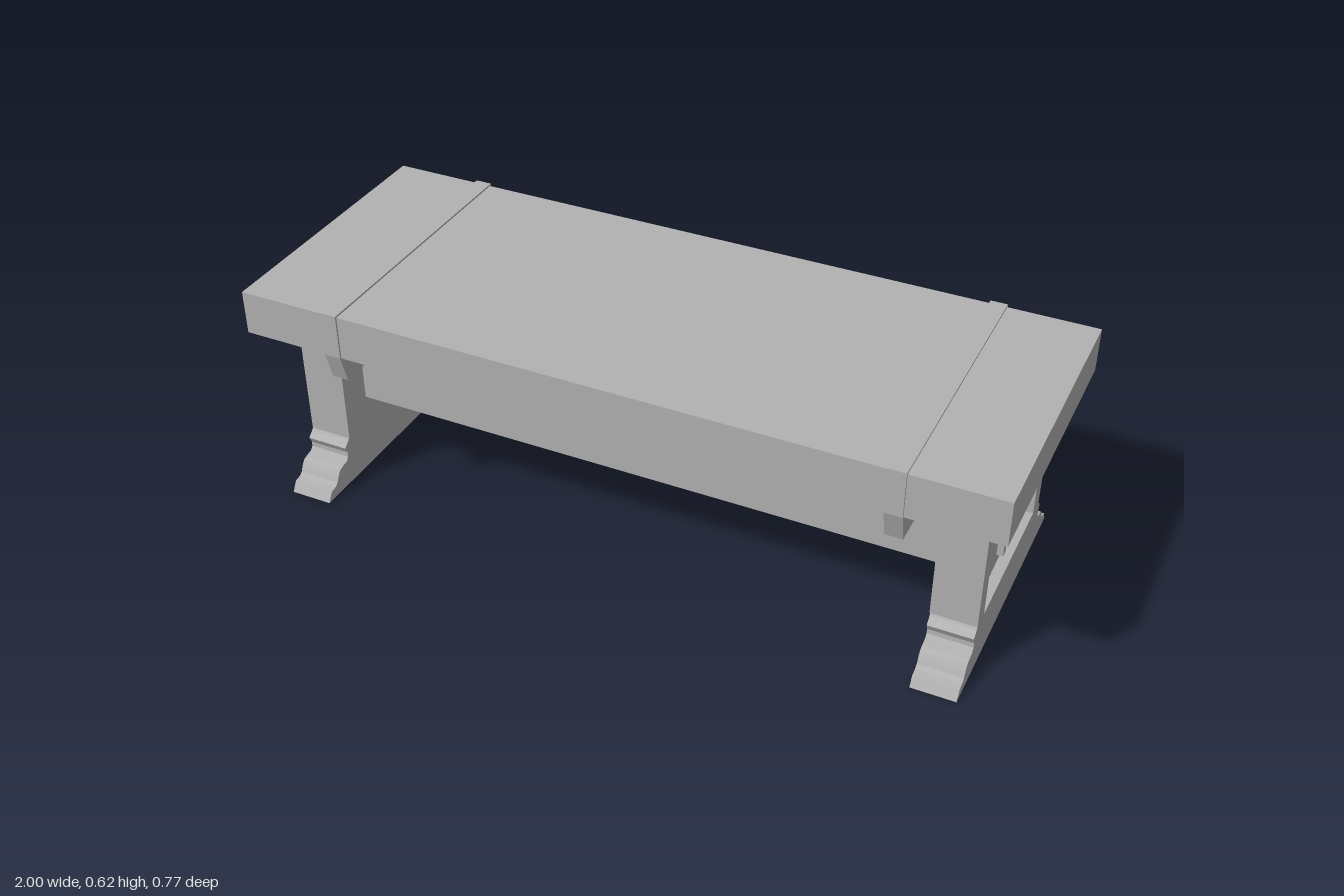
import * as THREE from 'three';

export function createModel() {
  const bench = new THREE.Group();
  bench.name = 'trestleBench';
  const grey = new THREE.MeshStandardMaterial({ color: 0xb2b2b2 });
  grey.name = 'plain grey';

  function add(parent, name, geometry) {
    const mesh = new THREE.Mesh(geometry, grey);
    mesh.name = name;
    parent.add(mesh);
    return mesh;
  }

  // Box given by its limits on each axis
  function box(parent, name, x0, x1, y0, y1, z0, z1) {
    const g = new THREE.BoxGeometry(x1 - x0, y1 - y0, z1 - z0);
    g.translate((x0 + x1) / 2, (y0 + y1) / 2, (z0 + z1) / 2);
    return add(parent, name, g);
  }

  // [z, y] outline pushed along x between two limits
  function slab(parent, name, outline, x0, x1) {
    const shape = new THREE.Shape(outline.map(([z, y]) => new THREE.Vector2(z, y)));
    const g = new THREE.ExtrudeGeometry(shape, { depth: x1 - x0, bevelEnabled: false });
    g.rotateY(-Math.PI / 2);
    g.translate(x1, 0, 0);
    return add(parent, name, g);
  }

  // Completes a half outline (running upwards) with its mirror image in z
  const mirrored = (half) => [...half, ...half.map(([z, y]) => [-z, y]).reverse()];

  // Seat board
  box(bench, 'seatBoard', -1, 1, 0.495, 0.615, -0.378, 0.378);

  const footOutline = mirrored([
    [0.38, 0], [0.364, 0.027], [0.345, 0.03], [0.335, 0.037], [0.326, 0.055],
    [0.318, 0.066], [0.305, 0.071], [0.283, 0.075], [0.275, 0.085], [0.274, 0.098],
    [0.283, 0.117], [0.266, 0.132], [0.262, 0.138],
  ]);
  const capOutline = mirrored([[0.262, 0.47], [0.292, 0.482], [0.298, 0.495]]);
  const strapOutline = mirrored([[0.362, 0.42], [0.383, 0.497], [0.383, 0.62]]);

  for (const side of [-1, 1]) {
    const inner = 0.815, outer = 0.933, recess = 0.893;
    // Limits along x, mirrored for the two ends
    const span = (a, b) => (side > 0 ? [a, b] : [-b, -a]);

    // Trestle with a recessed outer panel
    const leg = new THREE.Group();
    leg.name = side > 0 ? 'leftTrestle' : 'rightTrestle';
    leg.position.z = -0.002;
    bench.add(leg);
    slab(leg, 'foot', footOutline, ...span(inner + 0.002, outer));
    slab(leg, 'cap', capOutline, ...span(inner, outer));
    box(leg, 'panel', ...span(inner, recess), 0.138, 0.47, -0.262, 0.262);
    for (const s of [-1, 1]) {
      const z = s > 0 ? [0.211, 0.262] : [-0.262, -0.211];
      box(leg, 'stile', ...span(recess, outer), 0.138, 0.47, ...z);
    }

    // Strap wrapped over the seat with a batten beneath it
    slab(bench, 'strapAndBatten', strapOutline, ...span(0.717, 0.762));
  }

  // Two stretchers, tenoned through both trestles and locked with pegs
  for (const s of [-1, 1]) {
    const zo = -0.003;
    const outline = [[0.17, 0.216], [0.17, 0.328], [0.053, 0.336], [0.053, 0.223]]
      .map(([z, y]) => [s * z + zo, y]);
    slab(bench, 'stretcher', outline, -0.924, 0.924);
    const z = s * 0.112 + zo;
    for (const x of [-0.93, 0.93]) {
      box(bench, 'peg', x - 0.01, x + 0.01, 0.25, 0.313, z - 0.011, z + 0.011);
    }
  }

  return bench;
}
